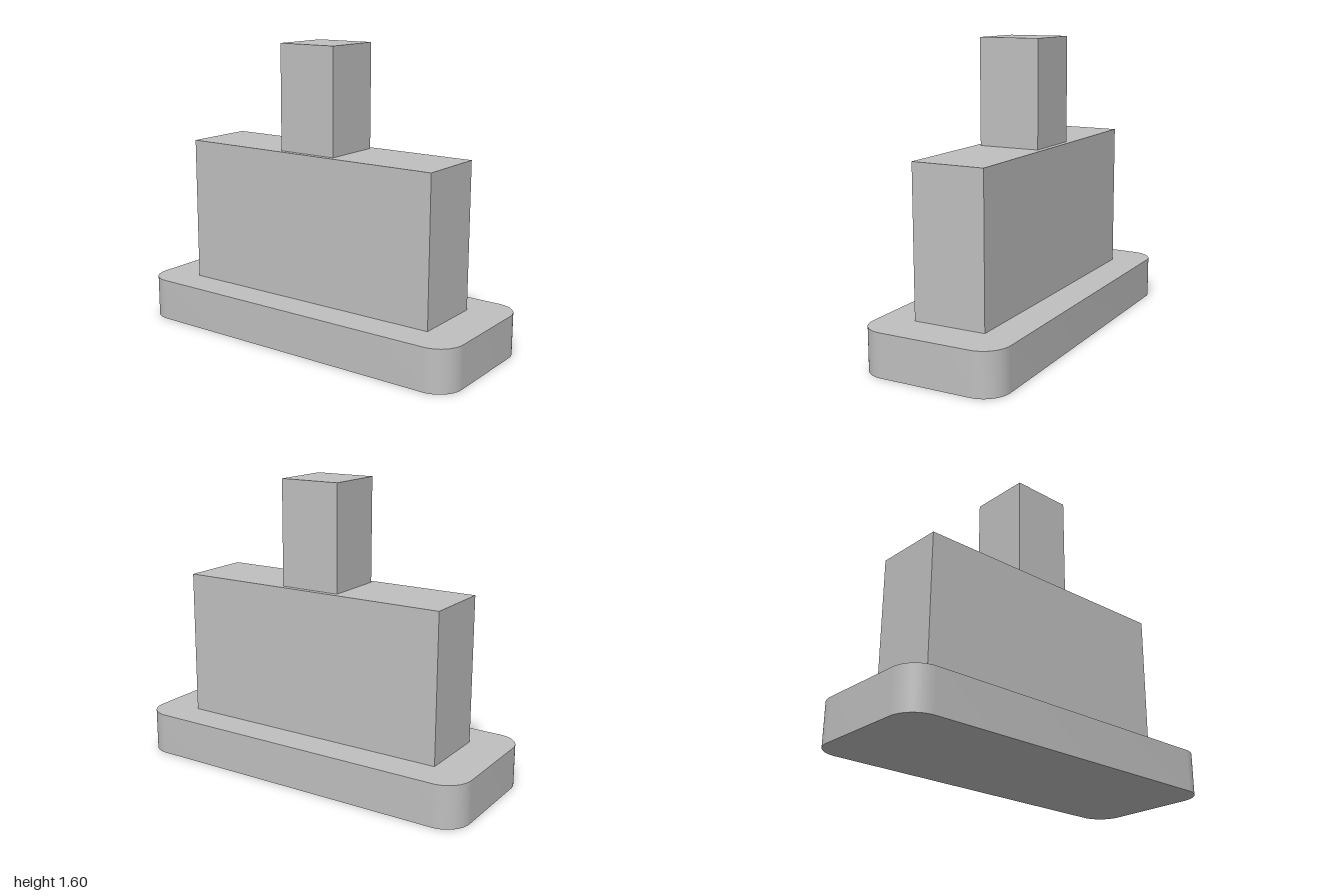
import * as THREE from 'three';
import { toCreasedNormals } from 'three/addons/utils/BufferGeometryUtils.js';

const gray = new THREE.MeshStandardMaterial({ color: 0xbfbfbf });
gray.name = 'gray';

// Flat slab with rounded vertical corners, standing on y = 0
function roundedSlab(width, height, depth, radius) {
  const x = width / 2 - radius;
  const z = depth / 2 - radius;
  const outline = new THREE.Shape();
  outline.absarc(x, z, radius, 0, Math.PI / 2);
  outline.absarc(-x, z, radius, Math.PI / 2, Math.PI);
  outline.absarc(-x, -z, radius, Math.PI, Math.PI * 1.5);
  outline.absarc(x, -z, radius, Math.PI * 1.5, Math.PI * 2);
  const slab = new THREE.ExtrudeGeometry(outline, { depth: height, bevelEnabled: false, curveSegments: 16 });
  slab.rotateX(-Math.PI / 2);
  return toCreasedNormals(slab, Math.PI / 6);
}

// Box whose underside rests at the given height
function block(width, height, depth, bottom) {
  return new THREE.BoxGeometry(width, height, depth).translate(0, bottom + height / 2, 0);
}

export function createModel() {
  const model = new THREE.Group();
  model.name = 'steppedBlock';

  const add = (name, geometry) => {
    const mesh = new THREE.Mesh(geometry, gray);
    mesh.name = name;
    model.add(mesh);
  };

  add('base', roundedSlab(2, 0.23, 0.777, 0.14));
  add('body', block(1.545, 0.8, 0.4, 0.23));
  add('post', block(0.34, 0.57, 0.34, 1.03));

  return model;
}
